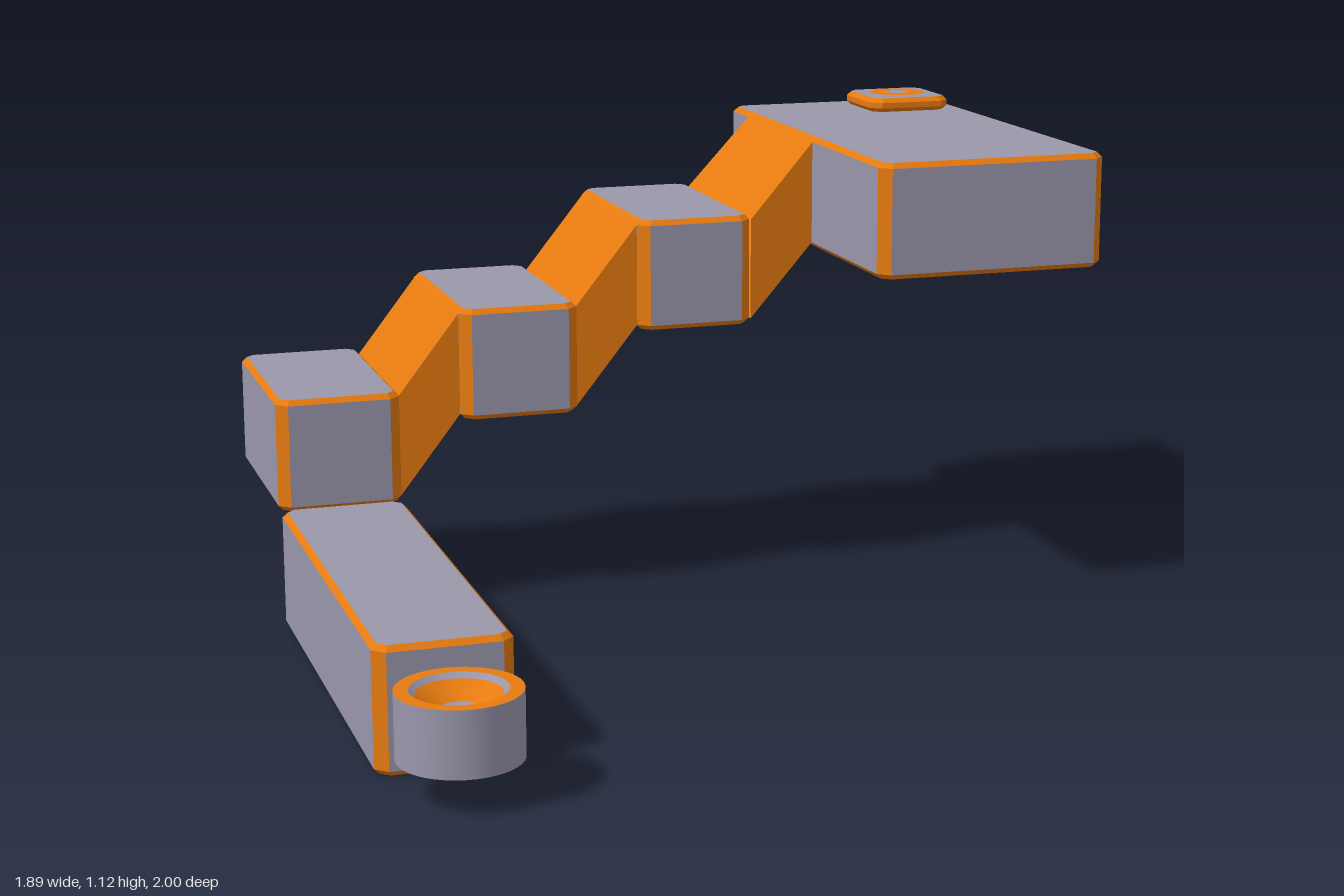
import * as THREE from 'three';

const lavender = new THREE.MeshStandardMaterial({ name: 'lavender grey', color: 0x9a97ab, side: THREE.DoubleSide });
const orange = new THREE.MeshStandardMaterial({ name: 'orange', color: 0xe67a10, side: THREE.DoubleSide });

// Flat-shaded geometry from quads; group 0 is lavender, group 1 is orange
function quadGeometry(panels, trims) {
  const pos = [];
  const put = (q) => [0, 1, 2, 0, 2, 3].forEach((i) => pos.push(...q[i]));
  panels.forEach(put);
  const split = pos.length / 3;
  trims.forEach(put);
  const g = new THREE.BufferGeometry();
  g.setAttribute('position', new THREE.Float32BufferAttribute(pos, 3));
  g.addGroup(0, split, 0);
  g.addGroup(split, pos.length / 3 - split, 1);
  g.computeVertexNormals();
  return g;
}

// Chamfered block, open underneath: lavender panels with orange edges
function block(name, [x0, x1], [y0, y1], [z0, z1], bevel = 0.012, allTrim = false) {
  const cut = 0.026;
  const ring = (y, inset) => {
    const a = x0 + inset, b = x1 - inset, c = z0 + inset, d = z1 - inset;
    const k = cut - inset * 0.6;
    return [
      [a + k, y, d], [b - k, y, d], [b, y, d - k], [b, y, c + k],
      [b - k, y, c], [a + k, y, c], [a, y, c + k], [a, y, d - k],
    ];
  };
  const rings = [ring(y0, bevel), ring(y0 + bevel, 0), ring(y1 - bevel, 0), ring(y1, bevel)];
  const panels = [], trims = [];
  for (let r = 0; r < 3; r++) {
    for (let i = 0; i < 8; i++) {
      const j = (i + 1) % 8;
      const isPanel = r === 1 && i % 2 === 0 && !allTrim;
      (isPanel ? panels : trims).push([rings[r][i], rings[r][j], rings[r + 1][j], rings[r + 1][i]]);
    }
  }
  // octagonal lid in three strips
  const t = rings[3];
  panels.push([t[0], t[1], t[4], t[5]], [t[1], t[2], t[3], t[4]], [t[0], t[5], t[6], t[7]]);
  const mesh = new THREE.Mesh(quadGeometry(panels, trims), [lavender, orange]);
  mesh.name = name;
  return mesh;
}

// Slanted orange sleeve between two blocks; each end is [x, bottom, top, back, front]
function sleeve(name, endA, endB) {
  const loop = ([x, lo, hi, back, front]) => [[x, lo, front], [x, hi, front], [x, hi, back], [x, lo, back]];
  const a = loop(endA), b = loop(endB);
  const quads = a.map((p, i) => [p, b[i], b[(i + 1) % 4], a[(i + 1) % 4]]);
  const mesh = new THREE.Mesh(quadGeometry([], quads), [lavender, orange]);
  mesh.name = name;
  return mesh;
}

function lathe(name, points, material) {
  const g = new THREE.LatheGeometry(points.map(([r, y]) => new THREE.Vector2(r, y)), 40);
  const mesh = new THREE.Mesh(g, material);
  mesh.name = name;
  return mesh;
}

export function createModel() {
  const model = new THREE.Group();
  model.name = 'steppedBlocks';

  // Long low block and the wide raised block
  model.add(block('longBlock', [-0.945, -0.652], [0, 0.275], [-0.347, 0.73]));
  model.add(block('wideBlock', [0.38, 0.942], [0.817, 1.087], [-1, 0.085]));

  // Three climbing steps
  for (let i = 0; i < 3; i++) {
    const x = -0.945 + 0.44 * i, y = 0.265 + 0.188 * i;
    model.add(block('step' + (i + 1), [x, x + 0.293 - 0.005 * i], [y, y + 0.267], [-0.885, -0.347]));
  }

  // Sleeves linking the steps
  model.add(sleeve('sleeve1', [-0.652, 0.277, 0.52, -0.856, -0.375], [-0.505, 0.465, 0.708, -0.856, -0.375]));
  model.add(sleeve('sleeve2', [-0.217, 0.465, 0.708, -0.856, -0.375], [-0.065, 0.653, 0.896, -0.856, -0.375]));
  model.add(sleeve('sleeve3', [0.218, 0.653, 0.896, -0.868, -0.36], [0.38, 0.829, 1.075, -0.856, -0.375]));

  // Square button with a painted ring
  const button = new THREE.Group();
  button.name = 'button';
  button.add(block('buttonPlate', [0.68, 0.895], [1.086, 1.122], [-0.957, -0.742], 0.011, true));
  const ring = new THREE.Mesh(new THREE.RingGeometry(0.032, 0.072, 32), orange);
  ring.name = 'buttonRing';
  ring.rotation.x = -Math.PI / 2;
  ring.position.set(0.788, 1.125, -0.85);
  button.add(ring);
  model.add(button);

  // Round cup at the end of the long block, dished on top and open underneath
  const cup = new THREE.Group();
  cup.name = 'cup';
  cup.add(lathe('cupWall', [[0.13, 0.08], [0.13, 0.222]], lavender));
  cup.add(lathe('cupRim', [[0.13, 0.222], [0.1, 0.222]], orange));
  cup.add(lathe('cupBand', [[0.1, 0.222], [0.088, 0.212]], lavender));
  cup.add(lathe('cupDish', [[0.088, 0.212], [0.042, 0.18]], orange));
  cup.add(lathe('cupCentre', [[0.042, 0.18], [0, 0.165]], lavender));
  cup.position.set(-0.803, 0, 0.866);
  model.add(cup);

  return model;
}
